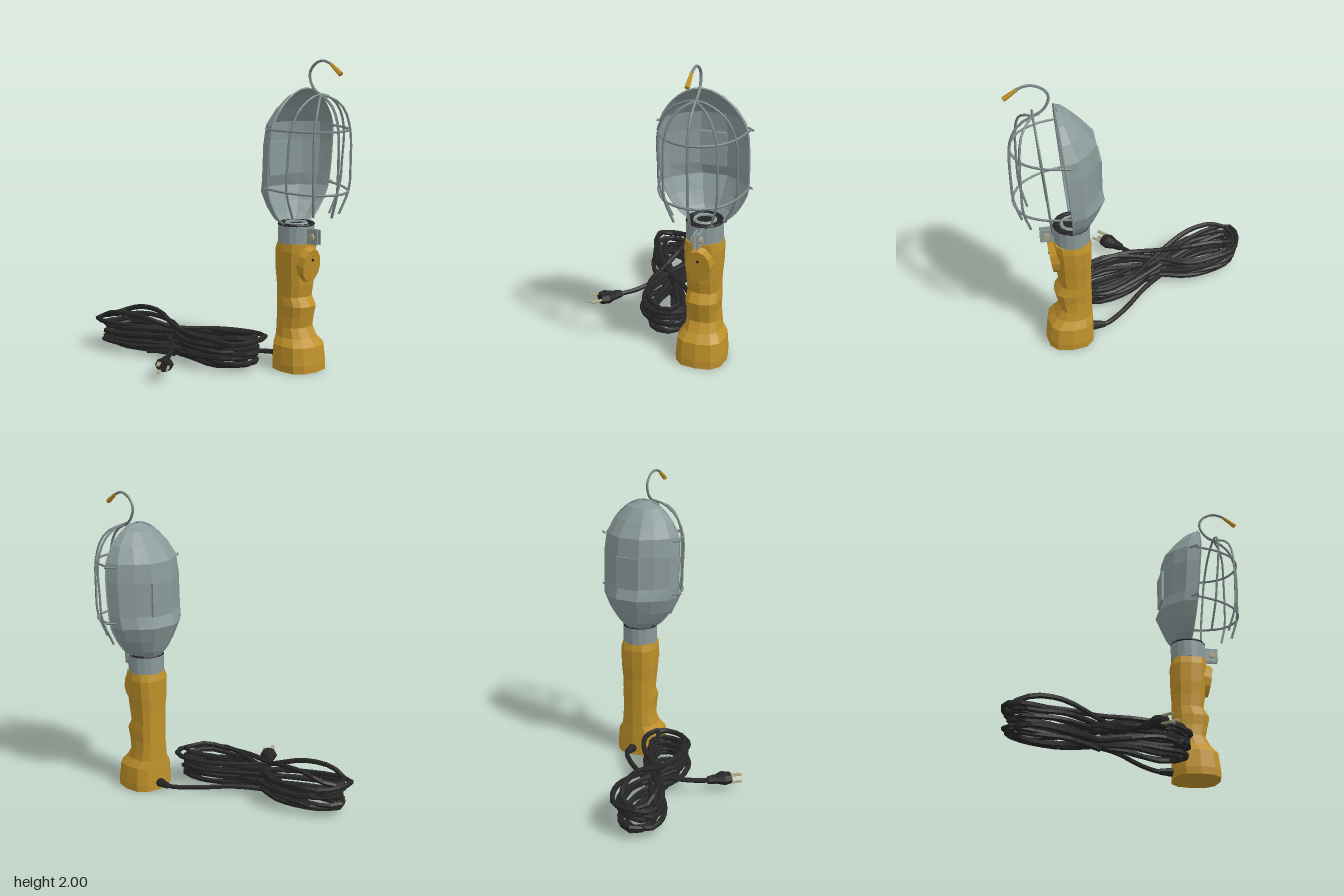
import * as THREE from 'three';

const std = (name, color, extra = {}) => {
  const m = new THREE.MeshStandardMaterial({ color, flatShading: true, ...extra });
  m.name = name;
  return m;
};

export function createModel() {
  const steel = std('steel grey', 0x8a9999, { side: THREE.DoubleSide });
  const wire = std('wire grey', 0x7a8787);
  const yellow = std('handle yellow', 0xbf912a);
  const black = std('cord black', 0x262525);
  const brass = std('pale brass', 0xa8a283);

  const model = new THREE.Group();
  const lamp = new THREE.Group();
  lamp.name = 'lamp';
  lamp.position.z = -0.3;
  model.add(lamp);

  const add = (parent, name, geo, mat, pos = [0, 0, 0], rot = [0, 0, 0]) => {
    const mesh = new THREE.Mesh(geo, mat);
    mesh.name = name;
    mesh.position.set(...pos);
    mesh.rotation.set(...rot);
    parent.add(mesh);
    return mesh;
  };
  const curve = (pts) => new THREE.CatmullRomCurve3(pts.map((p) => new THREE.Vector3(...p)), false, 'centripetal');
  const tube = (parent, name, pts, r, mat, segs = 16, sides = 5) =>
    add(parent, name, new THREE.TubeGeometry(curve(pts), segs, r, sides), mat);
  const soft = (v, p) => Math.sign(v) * Math.abs(v) ** p;

  // Skins a list of rings of [x, y, z] points, each ring lying above the last
  const skin = (rings, closed) => {
    const n = rings[0].length;
    const idx = [];
    for (let i = 0; i < rings.length - 1; i++) {
      for (let j = 0; j < (closed ? n : n - 1); j++) {
        const a = i * n + j, b = i * n + ((j + 1) % n);
        idx.push(a, a + n, b, b, a + n, b + n);
      }
    }
    if (closed) {
      const top = (rings.length - 1) * n;
      for (let j = 1; j < n - 1; j++) idx.push(0, j, j + 1, top, top + j + 1, top + j);
    }
    const g = new THREE.BufferGeometry();
    g.setAttribute('position', new THREE.Float32BufferAttribute(rings.flat(2), 3));
    g.setIndex(idx);
    g.computeVertexNormals();
    return g;
  };

  // Handle: rows of [y, back x, front x, half width]
  const handleRows = [
    [0, 0.325, 0.645, 0.162], [0.05, 0.325, 0.645, 0.165], [0.165, 0.328, 0.63, 0.155],
    [0.215, 0.33, 0.585, 0.12], [0.28, 0.33, 0.55, 0.11], [0.35, 0.33, 0.565, 0.106],
    [0.42, 0.33, 0.58, 0.112], [0.48, 0.33, 0.542, 0.106], [0.56, 0.33, 0.555, 0.11],
    [0.65, 0.325, 0.56, 0.12], [0.78, 0.322, 0.568, 0.125], [0.83, 0.335, 0.57, 0.115],
  ];
  const handleRings = handleRows.map(([y, back, front, half]) =>
    Array.from({ length: 12 }, (_, j) => {
      const a = (j / 12) * Math.PI * 2;
      return [(back + front) / 2 + soft(Math.cos(a), 0.75) * (front - back) / 2, y, soft(Math.sin(a), 0.75) * half];
    }));
  add(lamp, 'handle', skin(handleRings, true), yellow);

  // Oval switch boss with a dark button
  const boss = add(lamp, 'switchBoss', new THREE.CylinderGeometry(0.85, 1, 0.06, 12), yellow,
    [0.562, 0.695, 0], [0, 0, -Math.PI / 2 - 0.14]);
  boss.scale.set(0.128, 1, 0.09);
  add(lamp, 'switchButton', new THREE.CylinderGeometry(0.009, 0.009, 0.012, 8), black,
    [0.597, 0.73, 0], [0, 0, -Math.PI / 2 - 0.14]);

  // Collar, socket mouth and clamp
  add(lamp, 'collar', new THREE.CylinderGeometry(0.118, 0.118, 0.115, 16), steel, [0.448, 0.885, 0]);
  add(lamp, 'socketRim', new THREE.TorusGeometry(0.108, 0.012, 6, 16), black, [0.448, 0.947, 0], [Math.PI / 2, 0, 0]);
  add(lamp, 'socketFloor', new THREE.CylinderGeometry(0.1, 0.1, 0.006, 16), black, [0.448, 0.945, 0]);
  add(lamp, 'socketContact', new THREE.TorusGeometry(0.065, 0.012, 5, 12), steel, [0.448, 0.95, 0], [Math.PI / 2, 0, 0]);
  for (const s of [-1, 1]) {
    add(lamp, 'clampTab', new THREE.BoxGeometry(0.095, 0.095, 0.01), steel, [0.603, 0.882, s * 0.014]);
    add(lamp, 'clampBolt', new THREE.CylinderGeometry(0.022, 0.022, 0.016, 8), brass, [0.61, 0.882, s * 0.027], [Math.PI / 2, 0, 0]);
  }

  // Reflector shell: rows of [y, rim x, back x, half width], swept over a faceted [depth, width] section
  const shellRows = [
    [0.95, 0.45, 0.335, 0.11], [0.99, 0.452, 0.312, 0.165], [1.07, 0.458, 0.28, 0.225],
    [1.17, 0.465, 0.242, 0.27], [1.25, 0.472, 0.272, 0.278], [1.47, 0.49, 0.272, 0.28],
    [1.59, 0.5, 0.285, 0.267], [1.69, 0.508, 0.36, 0.212], [1.77, 0.515, 0.43, 0.13], [1.812, 0.519, 0.508, 0.04],
  ];
  const section = [[0, 1], [0.4, 0.91], [0.75, 0.62], [1, 0.29]];
  const fullSection = [...section, ...section.map(([d, w]) => [d, -w]).reverse()];
  const shellRings = shellRows.map(([y, rim, back, half]) =>
    fullSection.map(([d, w]) => [rim - d * (rim - back), y, w * half]));
  add(lamp, 'reflector', skin(shellRings, false), steel);
  add(lamp, 'reflectorPanel', new THREE.BoxGeometry(0.03, 0.22, 0.17), steel, [0.272, 1.355, 0]);
  const edge = (k) => shellRings.map((r) => r[k]);
  tube(lamp, 'reflectorRim', [...edge(0), ...edge(7).reverse()], 0.006, steel, 40, 4);

  // Cage: front wire, then mirrored pairs of inner and outer wires
  tube(lamp, 'frontWire', [[0.61, 1.795, 0], [0.68, 1.765, 0], [0.745, 1.715, 0], [0.785, 1.64, 0], [0.803, 1.55, 0],
    [0.805, 1.3, 0], [0.798, 1.17, 0], [0.755, 1.02, 0]], 0.009, wire);
  for (const s of [-1, 1]) {
    tube(lamp, 'innerWire', [[0.65, 1.78, 0], [0.705, 1.75, s * 0.07], [0.738, 1.69, s * 0.12], [0.753, 1.56, s * 0.16],
      [0.756, 1.35, s * 0.165], [0.75, 1.19, s * 0.16], [0.71, 1.03, s * 0.115]], 0.008, wire);
    tube(lamp, 'outerWire', [[0.65, 1.785, 0], [0.648, 1.765, s * 0.08], [0.64, 1.69, s * 0.18], [0.628, 1.56, s * 0.238],
      [0.61, 1.35, s * 0.245], [0.597, 1.19, s * 0.24], [0.58, 1.01, s * 0.165]], 0.008, wire);
  }
  for (const [y, drop] of [[1.57, 0.01], [1.2, 0.03]]) {
    const half = [[0.46, 0.277], [0.52, 0.266], [0.62, 0.242], [0.745, 0.158]];
    const pts = [...half, [0.803, 0], ...half.map(([x, z]) => [x, -z]).reverse()];
    tube(lamp, 'cageHoop', pts.map(([x, z]) => [x, y - drop * (x - 0.43) / 0.37, z]), 0.008, wire, 20);
    for (const s of [-1, 1]) {
      tube(lamp, 'hoopPin', [[0.425, y, s * 0.255], [0.47, y, s * 0.305]], 0.007, wire, 1);
    }
  }

  // Hanging hook with a coated tip
  tube(lamp, 'hook', [[0.64, 1.785, 0], [0.595, 1.81, 0], [0.56, 1.86, 0], [0.552, 1.91, 0], [0.585, 1.96, 0],
    [0.65, 1.99, 0], [0.7, 1.985, 0], [0.745, 1.965, 0]], 0.009, wire);
  add(lamp, 'hookTip', new THREE.CylinderGeometry(0.016, 0.011, 0.1, 6), yellow, [0.774, 1.941, 0], [0, 0, -2.2]);

  // Cord: a loose figure-of-eight coil with a lead to the handle and a lead to the plug
  let seed = 7;
  const rand = () => (seed = (seed * 16807) % 2147483647) / 2147483647;
  const loops = 10, steps = 16;
  const coil = [];
  for (let i = 0; i < loops; i++) {
    const reach = 0.52 + 0.08 * ((i * 0.62) % 1);
    const width = 0.085 + 0.09 * ((i * 0.37) % 1);
    const shift = (((i * 0.43 + 0.2) % 1) - 0.5) * 0.1;
    const lean = (rand() - 0.5) * 0.03;
    for (let k = 0; k < steps; k++) {
      const t = Math.PI / 2 + (k / steps) * Math.PI * 2;
      const u = Math.cos(t) * reach;
      const v = soft(Math.sin(2 * t), 0.8) * width + shift * Math.sin(t) ** 2 + (rand() - 0.5) * 0.02;
      const crest = i === loops - 1 && u < 0 ? 0.07 * Math.sin((-u / reach) * Math.PI) : 0;
      const y = 0.03 + 0.02 * (i + k / steps) + lean * Math.cos(t) + (rand() - 0.5) * 0.022 + crest;
      coil.push([-0.205 + u + v * 0.12, Math.max(0.019, y), 0.145 - 0.25 * u - v * 0.98]);
    }
  }
  tube(model, 'coiledCord', coil, 0.0175, black, loops * 36, 6);
  tube(model, 'handleLead', [[0.34, 0.05, -0.3], [0.24, 0.05, -0.298], [0.14, 0.05, -0.225], [0.05, 0.055, -0.14],
    [-0.03, 0.06, -0.05], [-0.12, 0.06, 0.04], [-0.25, 0.045, 0.16], [-0.38, 0.03, 0.28]], 0.0165, black, 24, 6);
  tube(model, 'plugLead', [[-0.38, 0.13, 0.16], [-0.28, 0.15, 0.21], [-0.2, 0.15, 0.235], [-0.14, 0.13, 0.255],
    [-0.05, 0.1, 0.345], [0.01, 0.09, 0.42], [0.05, 0.09, 0.455]], 0.0165, black, 20, 6);
  add(lamp, 'strainRelief', new THREE.CylinderGeometry(0.02, 0.032, 0.09, 8), black, [0.29, 0.05, 0], [0, 0, Math.PI / 2]);

  // Plug: built along +z, lying on its side
  const plug = new THREE.Group();
  plug.name = 'plug';
  plug.position.set(0.03, 0.09, 0.445);
  plug.rotation.set(0, 0.79, Math.PI / 2);
  model.add(plug);
  const along = [Math.PI / 2, 0, 0];
  add(plug, 'plugNeck', new THREE.CylinderGeometry(0.034, 0.026, 0.05, 8), black, [0, 0, 0.01], along);
  add(plug, 'plugBody', new THREE.CylinderGeometry(0.06, 0.036, 0.06, 8), black, [0, 0, 0.063], along).scale.x = 0.75;
  add(plug, 'plugFace', new THREE.CylinderGeometry(0.05, 0.06, 0.05, 8), black, [0, 0, 0.118], along).scale.x = 0.75;
  for (const s of [-1, 1]) {
    add(plug, 'plugBlade', new THREE.BoxGeometry(0.008, 0.024, 0.075), brass, [s * 0.025, 0.028, 0.175]);
  }
  add(plug, 'groundPin', new THREE.CylinderGeometry(0.009, 0.009, 0.08, 6), brass, [0, -0.03, 0.175], along);

  return model;
}
